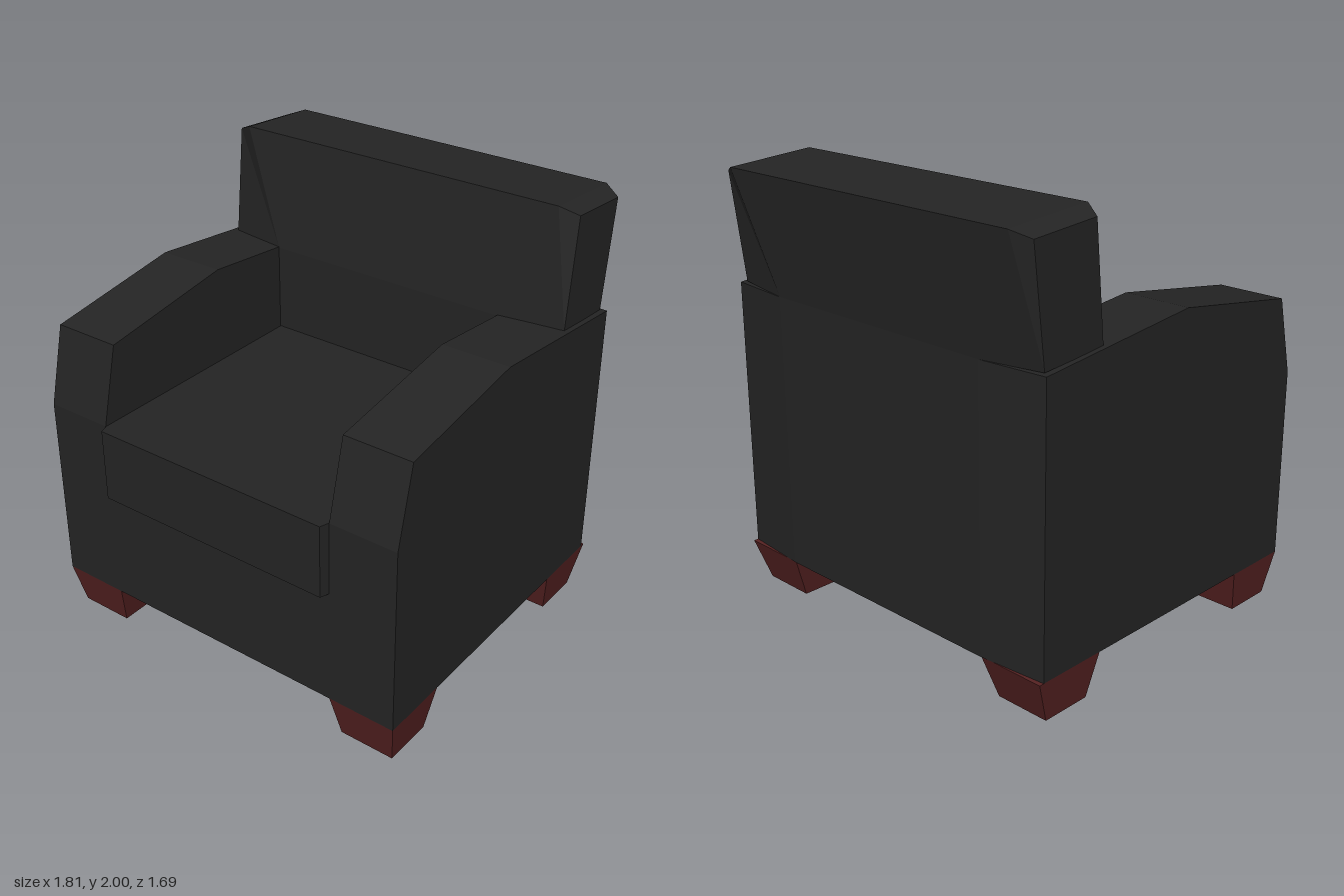
import * as THREE from 'three';

// Skin a row of convex cross-sections and cap both ends. Each ring runs
// counter-clockwise when seen looking back from the last ring to the first.
function loft(name, rings, material) {
  const pos = [];
  const tri = (a, b, c) => pos.push(...a, ...b, ...c);
  const n = rings[0].length;
  for (let r = 0; r < rings.length - 1; r++) {
    const a = rings[r], b = rings[r + 1];
    for (let i = 0; i < n; i++) {
      const j = (i + 1) % n;
      tri(a[i], a[j], b[j]);
      tri(a[i], b[j], b[i]);
    }
  }
  const first = rings[0], last = rings[rings.length - 1];
  for (let i = 1; i < n - 1; i++) {
    tri(first[0], first[i + 1], first[i]);
    tri(last[0], last[i], last[i + 1]);
  }
  const geometry = new THREE.BufferGeometry();
  geometry.setAttribute('position', new THREE.Float32BufferAttribute(pos, 3));
  geometry.computeVertexNormals();
  const mesh = new THREE.Mesh(geometry, material);
  mesh.name = name;
  return mesh;
}

// Side profile of [z, y] points placed at one x
const section = (x, profile) => profile.map(([z, y]) => [x, y, z]);

// Level rectangle at one height
const rect = (y, x0, x1, z0, z1) => [[x0, y, z1], [x1, y, z1], [x1, y, z0], [x0, y, z0]];

export function createModel() {
  const model = new THREE.Group();
  model.name = 'armchair';

  const leather = new THREE.MeshStandardMaterial({ color: 0x242424 });
  leather.name = 'black leather';
  const wood = new THREE.MeshStandardMaterial({ color: 0x562222 });
  wood.name = 'red brown wood';

  const add = (name, rings, material = leather) => model.add(loft(name, rings, material));
  const inner = 0.59, outer = 0.905;

  // Arms: the outer rear edge is pulled slightly forward
  const armProfile = (back) => [
    [0.805, 0.2], [back, 0.2], [back, 1.44], [0.06, 1.52], [0.72, 1.42], [0.805, 1.07],
  ];
  const innerSide = armProfile(-0.785), outerSide = armProfile(-0.757);
  add('leftArm', [section(inner, innerSide), section(outer, outerSide)]);
  add('rightArm', [section(-outer, outerSide), section(-inner, innerSide)]);

  // Base and lower backrest between the arms
  const base = [[0.805, 0.2], [-0.37, 0.2], [-0.37, 0.735], [0.805, 0.735]];
  add('base', [section(-inner, base), section(inner, base)]);
  const lowerBack = [[-0.37, 0.2], [-0.785, 0.2], [-0.785, 1.44], [-0.37, 1.475]];
  add('lowerBack', [section(-inner, lowerBack), section(inner, lowerBack)]);

  // Seat cushion, its protruding front narrowing a little
  const seat = (front) => [[front, 0.735], [-0.37, 0.735], [-0.37, 1.07], [front, 1.07]];
  add('seatCushion', [
    section(-0.588, seat(0.805)), section(-0.575, seat(0.845)),
    section(0.575, seat(0.845)), section(0.588, seat(0.805)),
  ]);

  // Leaning back cushion with bevelled ends, wider at the top of its face
  const end = [[-0.42, 1.47], [-0.74, 1.445], [-0.8, 1.94], [-0.47, 1.965]];
  const face = [[-0.37, 1.475], [-0.785, 1.44], [-0.845, 1.97], [-0.43, 2.0]];
  const faceRing = (s) => face.map(([z, y], i) => [s * (i < 2 ? 0.59 : 0.8), y, z]);
  add('backCushion', [section(-0.88, end), faceRing(-1), faceRing(1), section(0.88, end)]);

  // Tapered feet
  for (const [side, s] of [['Left', 1], ['Right', -1]]) {
    const span = (a, b) => (s > 0 ? [a, b] : [-b, -a]);
    const low = span(0.62, 0.875), high = span(0.59, outer);
    add('front' + side + 'Foot',
      [rect(0, ...low, 0.53, 0.76), rect(0.2, ...high, 0.485, 0.805)], wood);
    add('back' + side + 'Foot',
      [rect(0, ...low, -0.71, -0.475), rect(0.2, ...high, -0.78, -0.43)], wood);
  }
  return model;
}
